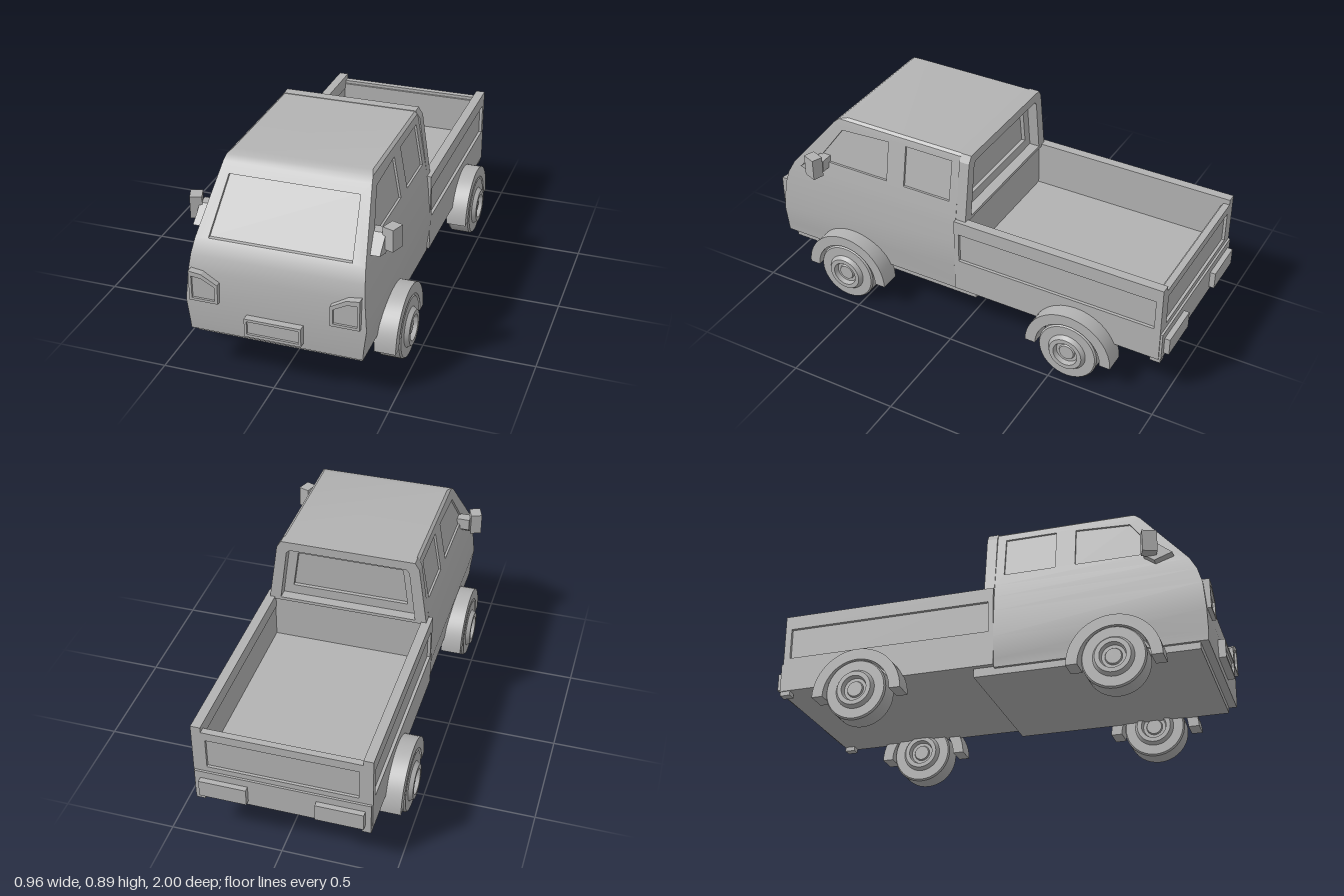
import * as THREE from 'three';
import { toCreasedNormals } from 'three/addons/utils/BufferGeometryUtils.js';

const V2 = (p) => new THREE.Vector2(p[0], p[1]);

export function createModel() {
  const root = new THREE.Group();
  root.name = 'pickupTruck';
  const grey = new THREE.MeshStandardMaterial({ color: 0xb2b2b2, side: THREE.DoubleSide });
  grey.name = 'bodyGrey';

  const add = (name, geo, x = 0, y = 0, z = 0) => {
    const m = new THREE.Mesh(geo, grey);
    m.name = name;
    m.position.set(x, y, z);
    root.add(m);
    return m;
  };
  const box = (name, x0, x1, y0, y1, z0, z1) =>
    add(name, new THREE.BoxGeometry(x1 - x0, y1 - y0, z1 - z0), (x0 + x1) / 2, (y0 + y1) / 2, (z0 + z1) / 2);
  const pair = (name, x0, x1, ...r) => {
    box(name + 'Left', x0, x1, ...r);
    box(name + 'Right', -x1, -x0, ...r);
  };
  // Flat outline with optional hole, extruded towards +z
  const plate = (pts, hole, depth) => {
    const s = new THREE.Shape(pts.map(V2));
    if (hole) s.holes.push(new THREE.Path(hole.map(V2)));
    return new THREE.ExtrudeGeometry(s, { depth, bevelEnabled: false });
  };
  const rect = (w, y0, y1) => [[-w, y0], [w, y0], [w, y1], [-w, y1]];

  // Cab levels: height, half width, front z
  const levels = [
    [0.2, 0.378, 0.965], [0.24, 0.38, 0.968], [0.34, 0.393, 0.968], [0.47, 0.382, 0.957], [0.54, 0.376, 0.937],
    [0.6, 0.368, 0.905], [0.86, 0.323, 0.69], [0.88, 0.318, 0.665], [0.89, 0.305, 0.625],
  ];
  const cabBack = 0.035;
  const at = (y, k) => {
    let i = 0;
    while (i < levels.length - 2 && y > levels[i + 1][0]) i++;
    const a = levels[i], b = levels[i + 1];
    return a[k] + (b[k] - a[k]) * (y - a[0]) / (b[0] - a[0]);
  };

  const pos = [];
  // Panel with recessed panes; map(u, v, d) places a point at depth d behind the surface
  const panel = (outline, holes, map, depth = 0.018) => {
    const surface = (pts, cuts, d) => {
      const s = new THREE.Shape(pts.map(V2));
      cuts.forEach((h) => s.holes.push(new THREE.Path(h.map(V2))));
      const p = new THREE.ShapeGeometry(s).toNonIndexed().attributes.position;
      for (let i = 0; i < p.count; i++) pos.push(...map(p.getX(i), p.getY(i), d));
    };
    surface(outline, holes, 0);
    for (const h of holes) {
      surface(h, [], depth);
      const c = THREE.ShapeUtils.isClockWise(h.map(V2)) ? [...h].reverse() : h;
      c.forEach((a, i) => {
        const b = c[(i + 1) % c.length];
        const [A, B, C, D] = [map(...a, 0), map(...b, 0), map(...b, depth), map(...a, depth)];
        pos.push(...A, ...B, ...C, ...A, ...C, ...D);
      });
    }
  };

  const sideWindows = [
    [[0.4, 0.655], [0.77, 0.655], [0.645, 0.83], [0.4, 0.843]],
    [[0.075, 0.655], [0.31, 0.655], [0.31, 0.847], [0.075, 0.847]],
  ];
  const windscreen = [[-0.31, 0.606], [0.31, 0.606], [0.285, 0.82], [-0.285, 0.82]];
  for (let i = 0; i < levels.length - 1; i++) {
    const [y0, w0, f0] = levels[i], [y1, w1, f1] = levels[i + 1];
    const glazed = y0 === 0.6;
    panel([[-w0, y0], [w0, y0], [w1, y1], [-w1, y1]], glazed ? [windscreen] : [],
      (u, v, d) => [u, v, at(v, 2) - d]);
    for (const s of [1, -1]) {
      const flip = (pts) => pts.map(([z, y]) => [-s * z, y]);
      panel(flip([[cabBack, y0], [f0, y0], [f1, y1], [cabBack, y1]]), glazed ? sideWindows.map(flip) : [],
        (u, v, d) => [s * (at(v, 1) - d), v, -s * u], 0.01);
    }
  }
  // Cab rear wall, roof and floor
  const half = levels.map(([y, w]) => [w, y]);
  panel([...half, ...half.map(([w, y]) => [-w, y]).reverse()],
    [[[-0.27, 0.63], [0.27, 0.63], [0.245, 0.81], [-0.245, 0.81]]], (u, v, d) => [-u, v, cabBack + d]);
  const top = levels[levels.length - 1], low = levels[0];
  panel([[-top[1], -top[2]], [top[1], -top[2]], [top[1], -cabBack], [-top[1], -cabBack]], [], (u, v) => [u, top[0], -v]);
  panel([[-low[1], low[2]], [low[1], low[2]], [low[1], cabBack], [-low[1], cabBack]], [], (u, v) => [u, low[0], v]);
  const cab = new THREE.BufferGeometry();
  cab.setAttribute('position', new THREE.Float32BufferAttribute(pos, 3));
  add('cab', toCreasedNormals(cab, 0.5));

  // Hoop behind the cab
  add('cabHoop', plate(
    [[-0.372, 0.57], [0.372, 0.57], [0.33, 0.86], [0.31, 0.892], [-0.31, 0.892], [-0.33, 0.86]],
    [[-0.318, 0.585], [0.318, 0.585], [0.285, 0.835], [0.27, 0.85], [-0.27, 0.85], [-0.285, 0.835]], 0.048), 0, 0, -0.014);

  // Chassis slab
  box('chassis', -0.365, 0.365, 0.17, 0.23, -0.06, 0.93);

  // Cargo bed with framed side panels
  box('bedFloor', -0.375, 0.375, 0.21, 0.36, -0.955, 0.03);
  box('bedFrontWall', -0.375, 0.375, 0.36, 0.575, 0, 0.033);
  pair('bedSide', 0.35, 0.376, 0.3, 0.57, -0.95, 0.03);
  pair('bedSideTopRail', 0.347, 0.39, 0.515, 0.58, -0.965, 0.035);
  pair('bedSideSill', 0.35, 0.39, 0.21, 0.37, -0.965, 0.035);
  pair('bedSideFrontPost', 0.35, 0.39, 0.37, 0.515, 0.012, 0.035);
  pair('bedSideRearPost', 0.345, 0.39, 0.37, 0.515, -0.965, -0.935);

  // Tailgate with framed panel
  box('tailgate', -0.36, 0.36, 0.34, 0.54, -0.952, -0.925);
  add('tailgateFrame', plate(rect(0.36, 0.34, 0.555), rect(0.33, 0.37, 0.515), 0.03), 0, 0, -0.965);
  box('rearPanel', -0.385, 0.385, 0.21, 0.345, -0.975, -0.94);
  pair('rearStep', 0.345, 0.385, 0.19, 0.215, -0.972, -0.925);
  pair('tailLight', 0.15, 0.36, 0.23, 0.31, -1, -0.96);

  // Headlights: rim and recessed lens
  for (const s of [1, -1]) {
    const side = s > 0 ? 'Left' : 'Right';
    const f = (pts) => pts.map(([x, y]) => [s * x, y]);
    const lens = f([[0.257, 0.362], [0.358, 0.362], [0.358, 0.442], [0.315, 0.464], [0.257, 0.464]].map(([x, y]) => [0.615 - x, y]));
    const rim = f([[0.243, 0.35], [0.37, 0.35], [0.37, 0.487], [0.313, 0.48], [0.243, 0.44]]);
    const inner = f([[0.256, 0.362], [0.358, 0.362], [0.358, 0.464], [0.316, 0.46], [0.256, 0.428]]);
    add('headlightRim' + side, plate(rim, inner, 0.04), 0, 0, 0.945);
    add('headlightLens' + side, plate(inner, null, 0.032), 0, 0, 0.943);

    // Door mirrors
    const arm = add('mirrorArm' + side, plate(
      [[-0.84, 0.62], [-0.76, 0.592], [-0.71, 0.63], [-0.71, 0.685], [-0.76, 0.685]], null, 0.06), s > 0 ? 0.345 : -0.405);
    arm.rotation.y = Math.PI / 2;
    const head = add('mirrorHead' + side, new THREE.BoxGeometry(0.052, 0.1, 0.065), s * 0.428, 0.665, 0.745);
    head.rotation.y = -s * 0.35;
  }

  // Front number plate holder
  add('plateHolder', plate(rect(0.124, 0.23, 0.315), rect(0.113, 0.243, 0.303), 0.04), 0, 0, 0.96);
  box('plateFace', -0.115, 0.115, 0.24, 0.305, 0.955, 0.99);

  // Wheels and mudguards
  const outer = [[0.14, 0.045], [0.134, 0.053], [0.09, 0.053], [0.078, 0.072], [0.058, 0.072], [0.052, 0.05], [0.038, 0.05], [0.034, 0.058], [0, 0.058]];
  const profile = [...outer.map(([r, y]) => [r, -y]).reverse(), ...outer];
  const wheel = toCreasedNormals(new THREE.LatheGeometry(profile.map(V2), 40), 0.5);
  const arch = new THREE.Shape();
  arch.absarc(0, 0, 0.207, 0, Math.PI, false);
  arch.absarc(0, 0, 0.157, Math.PI, 0, true);
  const guard = toCreasedNormals(
    new THREE.ExtrudeGeometry(arch, { depth: 0.095, bevelEnabled: false, curveSegments: 14 }), 0.5);
  for (const [end, z] of [['front', 0.582], ['rear', -0.57]]) {
    for (const s of [1, -1]) {
      const side = s > 0 ? 'Left' : 'Right';
      add(end + 'Wheel' + side, wheel, s * 0.41, 0.14, z).rotation.z = -s * Math.PI / 2;
      add(end + 'Mudguard' + side, guard, s > 0 ? 0.367 : -0.462, 0.127, z).rotation.y = Math.PI / 2;
    }
  }
  return root;
}
